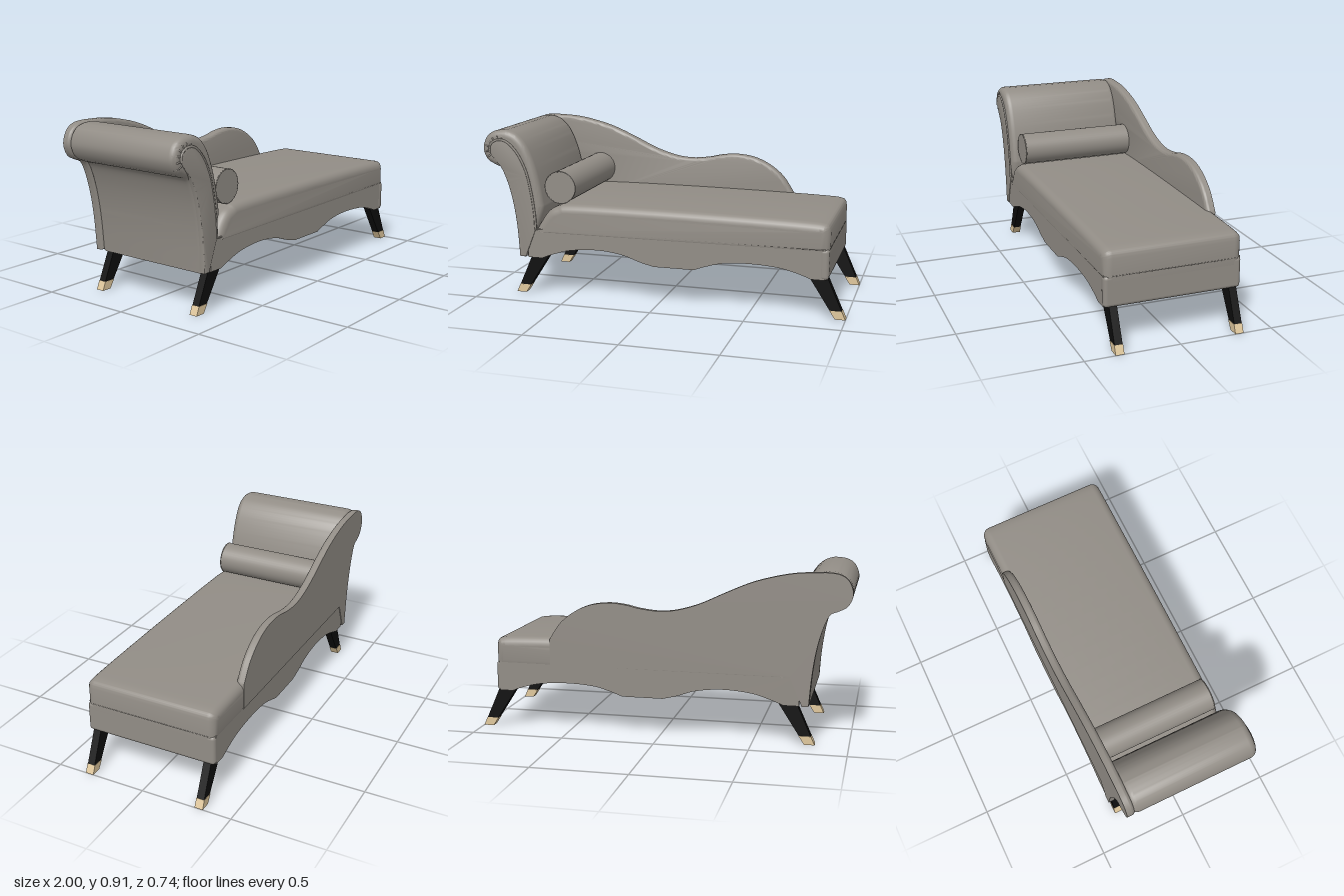
import * as THREE from 'three';
import { toCreasedNormals, mergeGeometries } from 'three/addons/utils/BufferGeometryUtils.js';
import { RoundedBoxGeometry } from 'three/addons/geometries/RoundedBoxGeometry.js';

const v2 = (pts) => pts.map(([x, y]) => new THREE.Vector2(x, y));

// Closed outline: each run is either a smooth curve (many points) or a straight line (one point)
function outline(start, ...runs) {
  const s = new THREE.Shape();
  s.moveTo(...start);
  for (const run of runs) {
    if (run.length === 1) s.lineTo(...run[0]);
    else s.splineThru(v2(run));
  }
  return s;
}

// Extrude between two z values; the rounding r stays inside the outline
function slab(shape, z0, z1, r = 0) {
  const g = new THREE.ExtrudeGeometry(shape, {
    depth: z1 - z0 - 2 * r, curveSegments: 5, bevelEnabled: r > 0,
    bevelThickness: r, bevelSize: r, bevelOffset: -r, bevelSegments: 6,
  });
  g.translate(0, 0, z0 + r);
  return toCreasedNormals(g, 0.6);
}

export function createModel() {
  const group = new THREE.Group();
  const fabric = new THREE.MeshStandardMaterial({ color: 0x928d86 });
  const black = new THREE.MeshStandardMaterial({ color: 0x0d0d0d });
  const brass = new THREE.MeshStandardMaterial({ color: 0xdfc79c });
  fabric.name = 'grey fabric';
  black.name = 'black wood';
  brass.name = 'pale brass';

  const add = (name, geometry, material = fabric) => {
    const m = new THREE.Mesh(geometry, material);
    m.name = name;
    group.add(m);
    return m;
  };
  const tube = (pts, r, n) => new THREE.TubeGeometry(
    new THREE.CatmullRomCurve3(pts.map((p) => new THREE.Vector3(...p))), n, r, 6);

  // Scalloped aprons along both long sides
  const apron = outline([-0.74, 0.372], [[-0.74, 0.21]], [[-0.66, 0.21]],
    [[-0.59, 0.237], [-0.49, 0.265], [-0.34, 0.277], [-0.2, 0.262], [-0.1, 0.23], [-0.02, 0.21]],
    [[0.2, 0.21]],
    [[0.27, 0.235], [0.36, 0.258], [0.5, 0.267], [0.65, 0.258], [0.75, 0.235], [0.82, 0.21]],
    [[0.89, 0.21]], [[0.89, 0.372]]);
  add('frontApron', slab(apron, 0.325, 0.363));
  add('backApron', slab(apron, -0.365, -0.327));

  // Foot end panel and the deck under the cushion
  const end = add('footPanel', new RoundedBoxGeometry(0.05, 0.165, 0.73, 4, 0.02));
  end.position.set(0.885, 0.2895, 0);
  const deck = add('deck', new THREE.BoxGeometry(1.6, 0.03, 0.68));
  deck.position.set(0.08, 0.35, 0);

  // Seat cushion
  add('seatCushion', slab(outline([-0.71, 0.335], [[0.91, 0.335]], [[0.911, 0.455]],
    [[0.903, 0.485], [0.88, 0.499], [0.8, 0.506], [0.5, 0.513], [0, 0.518], [-0.48, 0.516], [-0.57, 0.502], [-0.63, 0.465], [-0.69, 0.375]]),
  -0.367, 0.367, 0.045));

  // Seam cord between cushion and frame
  add('seamCord', tube([[-0.69, 0.371, 0.363], [0.1, 0.371, 0.363], [0.88, 0.37, 0.363]], 0.004, 20));
  const endCord = add('endSeamCord', new THREE.CylinderGeometry(0.004, 0.004, 0.66, 6));
  endCord.rotation.x = Math.PI / 2;
  endCord.position.set(0.908, 0.37, 0);

  // Rolled headrest
  const rollOuter = [[-0.803, 0.37], [-0.822, 0.5], [-0.85, 0.61], [-0.885, 0.69], [-0.93, 0.713],
    [-0.975, 0.74], [-0.999, 0.8], [-0.978, 0.865], [-0.93, 0.899], [-0.86, 0.907]];
  add('headrest', slab(outline([-0.79, 0.21], rollOuter,
    [[-0.8, 0.885], [-0.745, 0.825], [-0.7, 0.72], [-0.67, 0.6], [-0.652, 0.49]],
    [[-0.69, 0.37]], [[-0.75, 0.21]]), -0.335, 0.362, 0.035));

  // Facing panel on the headrest front, edged with piping
  const scroll = [[-0.95, 0.785], [-0.945, 0.825], [-0.91, 0.852], [-0.86, 0.85], [-0.8, 0.8],
    [-0.745, 0.7], [-0.715, 0.58], [-0.698, 0.46], [-0.693, 0.37]];
  add('headrestFacing', slab(outline([-0.79, 0.212],
    [[-0.8, 0.37], [-0.818, 0.5], [-0.845, 0.61], [-0.88, 0.695], [-0.92, 0.745], scroll[0]],
    scroll.slice(1), [[-0.755, 0.212]]), 0.33, 0.367, 0.004));
  add('facingPiping', tube(scroll.map(([x, y]) => [x, y, 0.363]), 0.007, 50));

  // Gathered pleats around the roll
  for (let i = 0; i < 8; i++) {
    const a = THREE.MathUtils.degToRad(215 - i * 24);
    const at = (r, z) => [-0.9 + Math.cos(a) * r, 0.803 + Math.sin(a) * r, z];
    add('pleat', tube([at(0.05, 0.36), at(0.075, 0.357), at(0.092, 0.34)], 0.005, 6));
  }

  // Wavy back panel, flat behind and rounded towards the seat
  const back = outline([-0.79, 0.21], rollOuter,
    [[-0.72, 0.9], [-0.6, 0.878], [-0.48, 0.843], [-0.35, 0.787], [-0.22, 0.727], [-0.1, 0.69], [0, 0.68],
      [0.1, 0.69], [0.18, 0.707], [0.27, 0.714], [0.37, 0.7], [0.46, 0.66], [0.54, 0.595], [0.6, 0.505]],
    [[0.6, 0.365]], [[-0.69, 0.365]], [[-0.755, 0.21]]);
  add('backPanel', mergeGeometries([slab(back, -0.369, -0.345), slab(back, -0.368, -0.322, 0.02)]));

  // Bolster pillow with corded ends
  const bolster = add('bolster', new THREE.CylinderGeometry(0.088, 0.088, 0.65, 40));
  bolster.rotation.x = Math.PI / 2;
  bolster.position.set(-0.561, 0.602, 0);
  const cord = add('bolsterCord', new THREE.TorusGeometry(0.087, 0.003, 6, 40));
  cord.position.set(-0.561, 0.602, 0.323);

  // Splayed tapered legs: outer and inner edges slide with height
  const legPart = (side, y0, y1, width, grow) => {
    const g = new THREE.BoxGeometry(1, 1, width);
    const p = g.attributes.position;
    for (let i = 0; i < p.count; i++) {
      const y = p.getY(i) > 0 ? y1 : y0;
      const t = y / 0.21;
      const outer = p.getX(i) * side > 0;
      const x = outer ? 1 - 0.093 * t + grow : 0.945 - 0.135 * t - grow;
      p.setXY(i, side > 0 ? x : 0.175 - x, y);
    }
    const flat = g.toNonIndexed();
    flat.computeVertexNormals();
    return flat;
  };
  for (const side of [1, -1]) {
    for (const z of [0.318, -0.322]) {
      add('leg', legPart(side, 0.04, 0.225, 0.041, -0.001), black).position.z = z;
      add('legCap', legPart(side, 0, 0.045, 0.045, 0), brass).position.z = z;
    }
  }
  return group;
}
